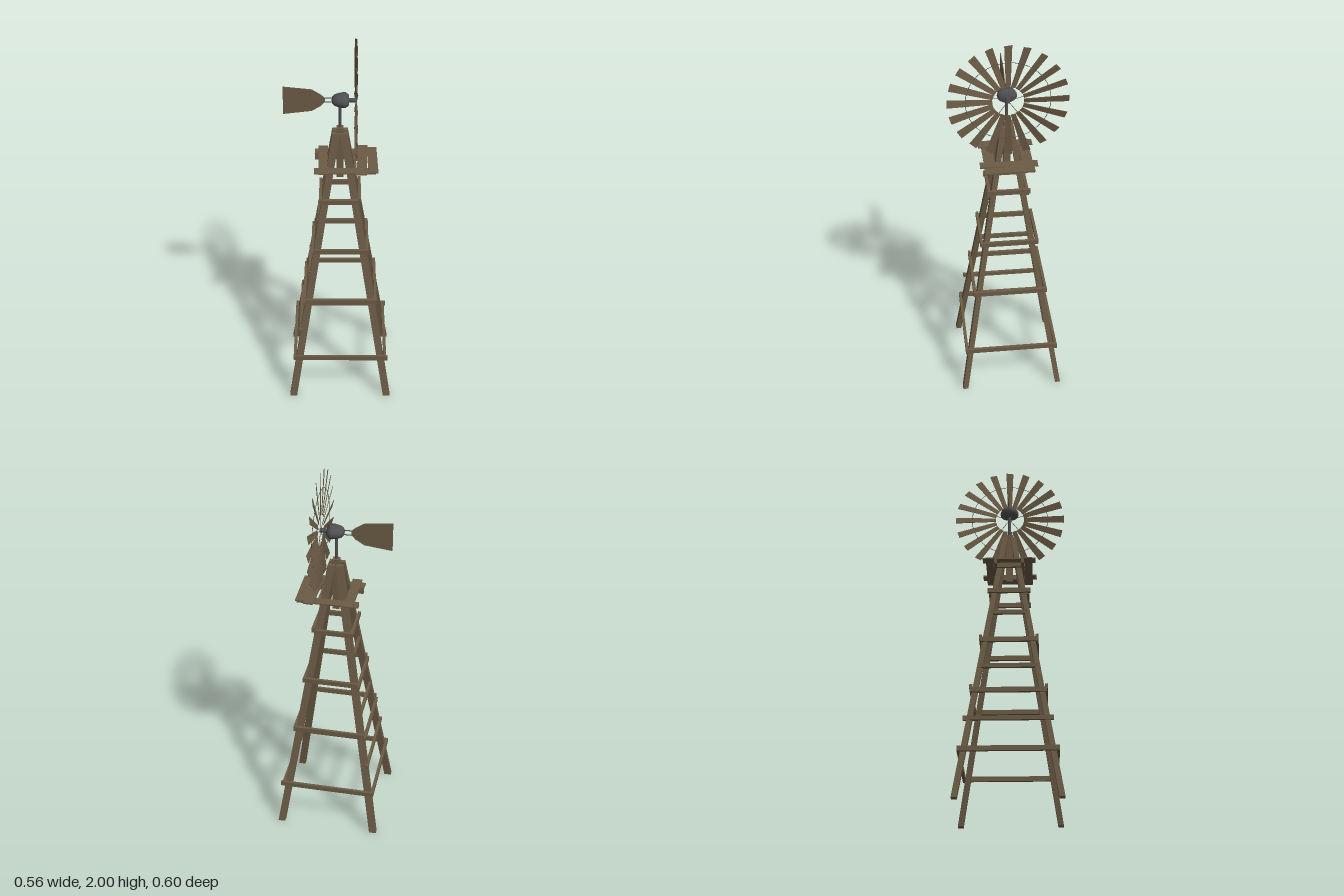
import * as THREE from 'three';

const wood = new THREE.MeshStandardMaterial({ color: 0x6b5b45, side: THREE.DoubleSide });
wood.name = 'weathered wood';
const metal = new THREE.MeshStandardMaterial({ color: 0x505052 });
metal.name = 'dark metal';

export function createModel() {
  const root = new THREE.Group();
  root.name = 'windPump';

  const add = (name, geo, mat, x = 0, y = 0, z = 0, parent = root) => {
    const m = new THREE.Mesh(geo, mat);
    m.name = name;
    m.position.set(x, y, z);
    parent.add(m);
    return m;
  };
  const box = (name, w, h, d, x, y, z) => add(name, new THREE.BoxGeometry(w, h, d), wood, x, y, z);
  // thin round bar between two points
  const bar = (name, a, b, r, parent = root) => {
    const from = new THREE.Vector3(...a), to = new THREE.Vector3(...b);
    const dir = to.clone().sub(from);
    const m = add(name, new THREE.CylinderGeometry(r, r, dir.length(), 6), metal, 0, 0, 0, parent);
    m.position.copy(from).add(to).multiplyScalar(0.5);
    m.quaternion.setFromUnitVectors(new THREE.Vector3(0, 1, 0), dir.normalize());
  };

  // four leaning legs: boxes sheared toward the top
  const legTop = 1.525;
  for (const sx of [-1, 1]) for (const sz of [-1, 1]) {
    const g = new THREE.BoxGeometry(0.038, legTop, 0.028);
    g.translate(0, legTop / 2, 0);
    const p = g.attributes.position;
    for (let i = 0; i < p.count; i++) {
      const c = 0.256 - 0.236 * p.getY(i) / legTop;
      p.setX(i, p.getX(i) + sx * c);
      p.setZ(i, p.getZ(i) + sz * c);
    }
    g.computeVertexNormals();
    add('leg', g, wood);
  }

  // cross rails: [height, offset from centre, half length]
  for (const [y, off, half] of [[0.25, 0.241, 0.255], [0.595, 0.188, 0.19], [0.888, 0.145, 0.143], [1.165, 0.098, 0.093], [1.332, 0.072, 0.132]]) {
    for (const s of [-1, 1]) box('crossRail', half * 2, 0.025, 0.015, 0.004, y, s * off);
  }
  // side rails: [height on +x, height on -x, offset, half length]
  for (const [yr, yl, off, half] of [[0.25, 0.25, 0.244, 0.242], [0.597, 0.575, 0.188, 0.19], [0.887, 0.87, 0.142, 0.15], [1.18, 1.17, 0.1, 0.112], [1.332, 1.332, 0.075, 0.083]]) {
    box('sideRail', 0.015, 0.025, half * 2, off, yr, 0);
    box('sideRail', 0.015, 0.025, half * 2, -off, yl, 0);
  }
  // ladder rungs on the -x side
  for (const [y, off, half] of [[0.418, 0.209, 0.223], [0.717, 0.16, 0.146], [1.04, 0.108, 0.095]]) {
    box('ladderRung', 0.015, 0.022, half * 2, -off, y, 0);
  }

  // platform: two long planks, with three planks laid across them
  for (const s of [-1, 1]) box('platformPlank', 0.31, 0.007, 0.052, 0.025, 1.348, s * 0.097);
  for (const [x, len, turn] of [[-0.085, 0.28, 0.01], [0.113, 0.29, -0.03], [0.165, 0.25, 0.02]]) {
    box('platformCrossPlank', 0.05, 0.007, len, x, 1.356, 0).rotation.y = turn;
  }

  // centre post and mast
  box('centrePost', 0.036, 0.285, 0.036, 0, 1.4075, 0);
  bar('mast', [0, 1.54, 0], [0, 1.69, 0], 0.008);

  // gearbox: rounded behind, chamfered toward the wheel
  const profile = [[0, -0.042], [0.02, -0.039], [0.036, -0.028], [0.044, -0.01], [0.05, 0.015], [0.05, 0.028], [0.032, 0.045], [0, 0.045]]
    .map(([r, h]) => new THREE.Vector2(r, h));
  const head = new THREE.LatheGeometry(profile, 16);
  head.rotateZ(-Math.PI / 2);
  head.scale(1, 0.72, 1);
  add('gearbox', head, metal, 0, 1.7, 0);
  bar('axle', [0.04, 1.7, 0], [0.084, 1.7, 0], 0.011);

  // wheel of twenty tapered, slightly pitched blades
  const wheel = new THREE.Group();
  wheel.name = 'wheel';
  wheel.position.set(0.079, 1.7, 0);
  root.add(wheel);
  for (let i = 0; i < 20; i++) {
    const spoke = new THREE.Group();
    spoke.name = 'bladeArm';
    spoke.rotation.x = i * Math.PI / 10;
    wheel.add(spoke);
    const g = new THREE.BoxGeometry(0.003, 0.222, 0.04);
    const p = g.attributes.position;
    for (let k = 0; k < p.count; k++) if (p.getY(k) < 0) p.setZ(k, p.getZ(k) * 0.6);
    g.computeVertexNormals();
    add('blade', g, wood, 0, 0.189, 0, spoke).rotation.y = 0.24;
    if (i % 4 === 0) bar('spoke', [0, 0, 0], [0, 0.22, 0], 0.0015, spoke);
  }
  const ring = new THREE.TorusGeometry(0.21, 0.0015, 4, 40);
  ring.rotateY(Math.PI / 2);
  add('wheelRing', ring, metal, 0, 0, 0, wheel);

  // tail vane with its support wires
  const outline = [[-0.282, -0.077], [-0.14, -0.06], [-0.095, -0.032], [-0.075, -0.008], [-0.075, 0.01], [-0.095, 0.03], [-0.14, 0.058], [-0.282, 0.073]]
    .map(([x, y]) => new THREE.Vector2(x, y));
  const vane = new THREE.ExtrudeGeometry(new THREE.Shape(outline), { depth: 0.004, bevelEnabled: false });
  add('tailVane', vane, wood, 0, 1.7, -0.002);
  for (const s of [-1, 1]) bar('tailWire', [-0.02, 1.7 + s * 0.012, 0], [-0.13, 1.7 + s * 0.012, 0], 0.0025);

  return root;
}
